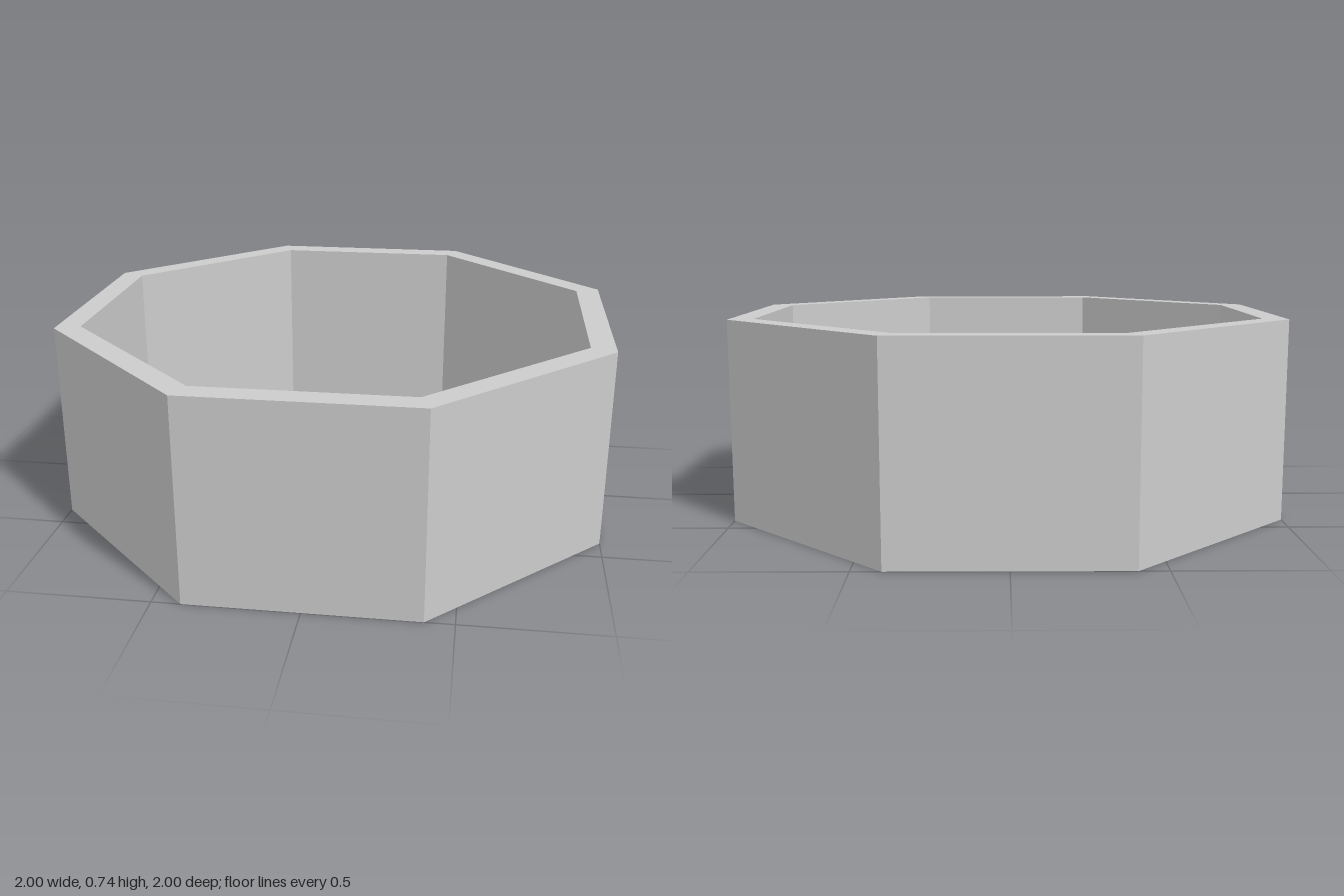
import * as THREE from 'three';

const HEIGHT = 0.735;

// Corners of an octagon: half = distance to the straight sides, side = half their length
function octagon(half, side) {
  const points = [];
  for (let i = 0; i < 4; i++) {
    const quarter = (i * Math.PI) / 2;
    for (const z of [-side, side]) {
      points.push(new THREE.Vector2(half, z).rotateAround(new THREE.Vector2(), quarter));
    }
  }
  return points;
}

export function createModel() {
  const group = new THREE.Group();
  group.name = 'octagonalRing';

  // Ring wall: outer octagon with an octagonal opening, extruded upwards
  const shape = new THREE.Shape(octagon(1, 0.4));
  shape.holes.push(new THREE.Path(octagon(0.912, 0.365)));
  const geometry = new THREE.ExtrudeGeometry(shape, { depth: HEIGHT, bevelEnabled: false });
  geometry.rotateX(-Math.PI / 2);

  const wall = new THREE.Mesh(
    geometry,
    new THREE.MeshStandardMaterial({ color: 0xcccccc, flatShading: true })
  );
  wall.name = 'ringWall';
  group.add(wall);
  return group;
}
